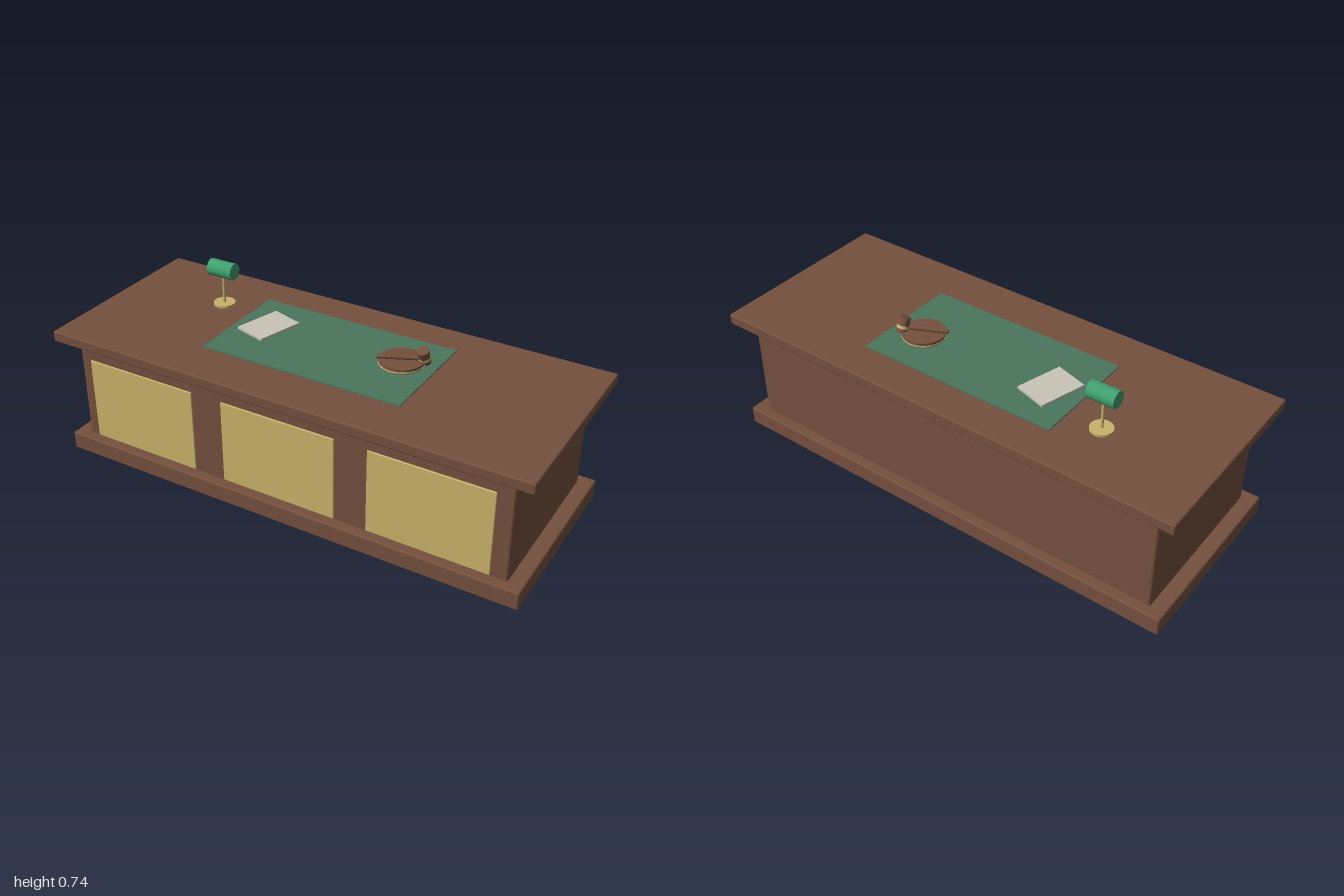
import * as THREE from 'three';
import { RoundedBoxGeometry } from 'three/addons/geometries/RoundedBoxGeometry.js';

const mat = (name, color) => new THREE.MeshStandardMaterial({ name, color });

export function createModel() {
  const wood = mat('wood', 0x75503e);
  const brass = mat('brass', 0xc9b26a);
  const felt = mat('felt', 0x4b765d);
  const glass = mat('green glass', 0x3fa06e);
  const paper = mat('paper', 0xcac5b8);

  const desk = new THREE.Group();
  desk.name = 'desk';

  const add = (parent, name, geometry, material, x, y, z) => {
    const mesh = new THREE.Mesh(geometry, material);
    mesh.name = name;
    mesh.position.set(x, y, z);
    parent.add(mesh);
    return mesh;
  };
  // Rounded block given by its width, depth and bottom/top heights
  const block = (name, material, w, d, y0, y1, radius, x = 0, z = 0) =>
    add(desk, name, new RoundedBoxGeometry(w, y1 - y0, d, 3, radius), material, x, (y0 + y1) / 2, z);
  const disc = (r, h) => new THREE.CylinderGeometry(r, r, h, 32);
  const group = (name, x, y, z) => {
    const g = new THREE.Group();
    g.name = name;
    g.position.set(x, y, z);
    desk.add(g);
    return g;
  };

  // Desk carcass
  block('plinth', wood, 1.96, 0.768, 0, 0.077, 0.008);
  block('body', wood, 1.84, 0.69, 0.06, 0.502, 0.01);
  block('deskTop', wood, 2, 0.804, 0.502, 0.547, 0.007);

  // Front panels: wooden backing with a brass face
  for (const x of [-0.617, 0, 0.617]) {
    block('panelBacking', wood, 0.46, 0.02, 0.1, 0.425, 0.004, x, 0.346);
    block('panelFace', brass, 0.485, 0.008, 0.09, 0.437, 0.0035, x, 0.358);
  }

  // Writing mat and paper stack
  add(desk, 'writingMat', new THREE.BoxGeometry(0.84, 0.006, 0.46), felt, 0, 0.549, -0.02);
  add(desk, 'papers', new THREE.BoxGeometry(0.14, 0.01, 0.197), paper, -0.291, 0.557, -0.048).rotation.y = -0.28;

  // Desk lamp with a horizontal cylindrical shade
  const lamp = group('lamp', -0.561, 0.547, -0.134);
  add(lamp, 'lampBase', disc(0.044, 0.01), brass, 0, 0.005, 0);
  add(lamp, 'lampStem', disc(0.0055, 0.13), brass, 0, 0.07, 0);
  add(lamp, 'lampShade', disc(0.034, 0.112), glass, 0, 0.154, 0).rotation.z = Math.PI / 2;

  // Round striking block with a brass ring
  const base = group('strikingBlock', 0.287, 0.552, -0.06);
  add(base, 'blockDisc', disc(0.086, 0.018), wood, 0, 0.009, 0);
  add(base, 'blockRing', disc(0.088, 0.005), brass, 0, 0.0055, 0);

  // Gavel: handle lying across the block, tilted head with a brass band
  const from = new THREE.Vector3(0.203, 0.578, -0.018);
  const to = new THREE.Vector3(0.362, 0.578, -0.092);
  const up = new THREE.Vector3(0, 1, 0);
  const dir = to.clone().sub(from);
  const handle = add(desk, 'gavelHandle', disc(0.009, dir.length()), wood, 0, 0, 0);
  handle.position.copy(from).lerp(to, 0.5);
  handle.quaternion.setFromUnitVectors(up, dir.normalize());

  const head = group('gavelHead', 0.362, 0.587, -0.092);
  head.quaternion.setFromUnitVectors(up, new THREE.Vector3(0, 0.9, 0.41).normalize());
  add(head, 'headBarrel', disc(0.023, 0.064), wood, 0, 0, 0);
  add(head, 'headBand', disc(0.0245, 0.012), brass, 0, -0.008, 0);

  return desk;
}
